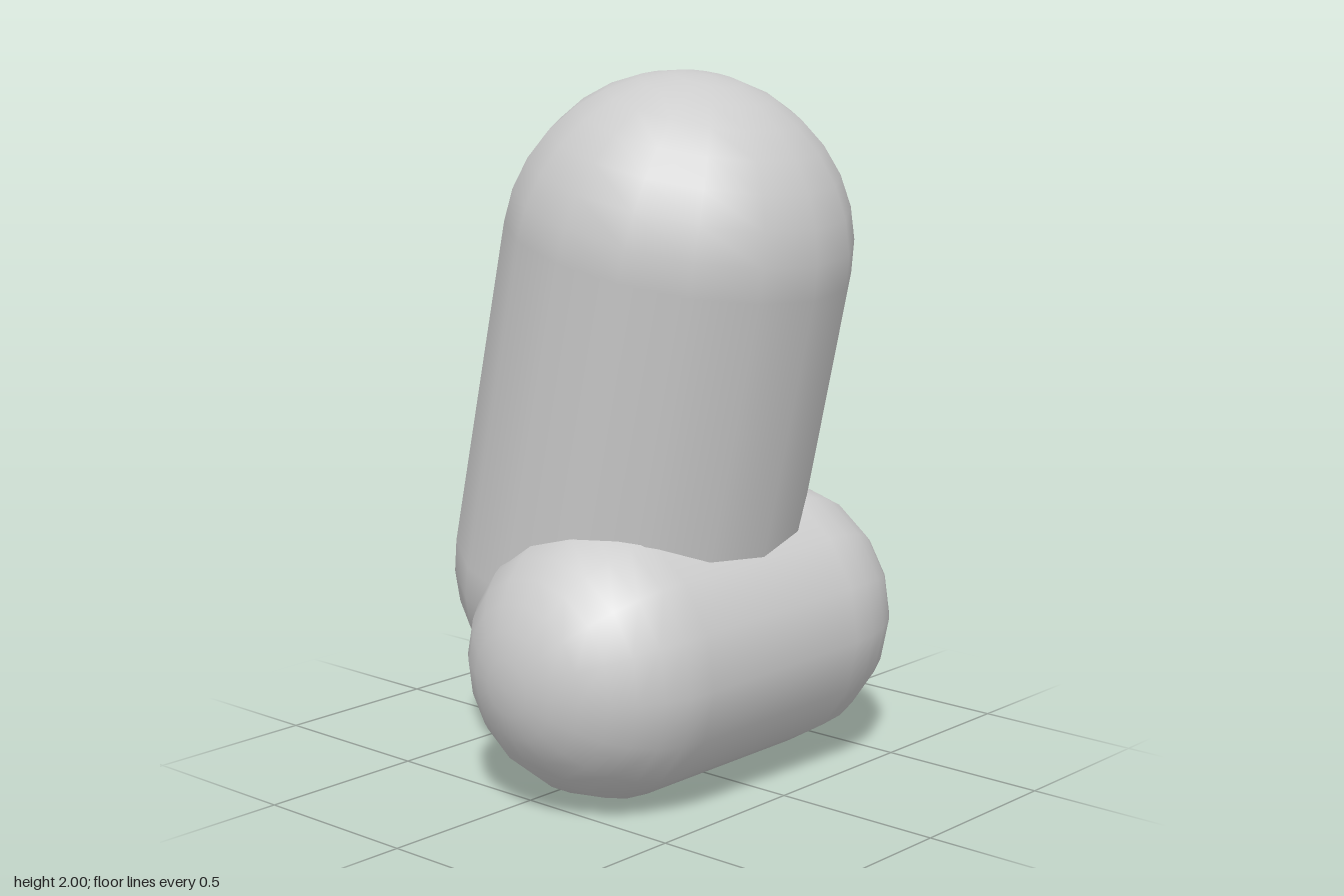
import * as THREE from 'three';

// Smooth capsule whose round ends are centred on points a and b
function capsule(name, a, b, radius, material) {
  const axis = b.clone().sub(a);
  const geometry = new THREE.CapsuleGeometry(radius, axis.length(), 8, 16);
  const mesh = new THREE.Mesh(geometry, material);
  mesh.name = name;
  mesh.position.copy(a).add(b).multiplyScalar(0.5);
  mesh.quaternion.setFromUnitVectors(new THREE.Vector3(0, 1, 0), axis.normalize());
  return mesh;
}

export function createModel() {
  const grey = new THREE.MeshStandardMaterial({ color: 0xcccccc });
  grey.name = 'light grey';

  const group = new THREE.Group();
  group.name = 'capsulePair';

  // Tall capsule leaning forward
  group.add(capsule('uprightCapsule',
    new THREE.Vector3(0, 0.57, -0.105), new THREE.Vector3(0, 1.51, 0.105), 0.49, grey));

  // Short capsule lying across the front of the base, slightly askew
  group.add(capsule('crossCapsule',
    new THREE.Vector3(-0.295, 0.398, 0.115), new THREE.Vector3(0.295, 0.415, 0.145), 0.396, grey));

  return group;
}
